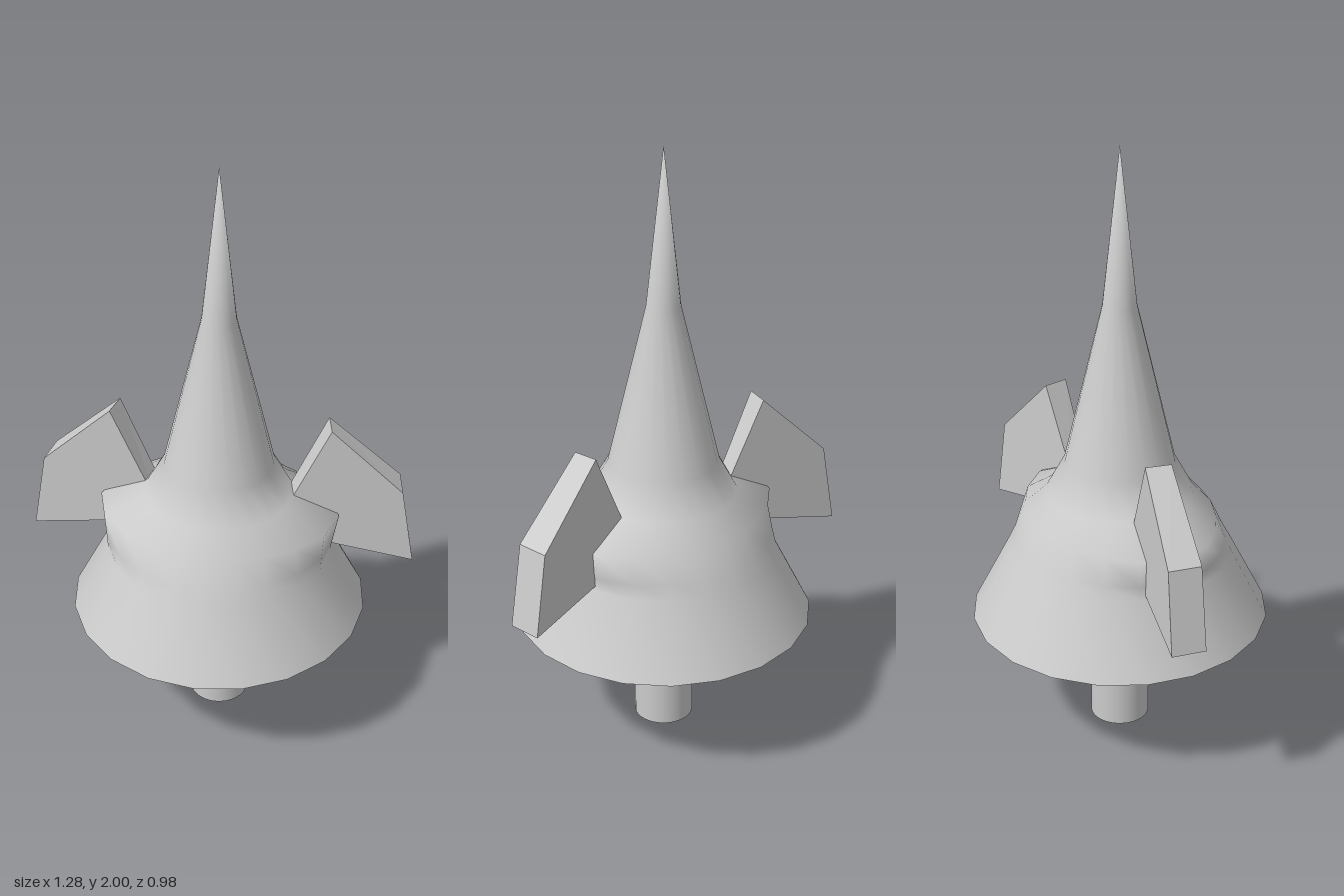
import * as THREE from 'three';
import { mergeVertices } from 'three/addons/utils/BufferGeometryUtils.js';

const material = new THREE.MeshStandardMaterial({ color: 0xcccccc });

function addMesh(group, name, geometry) {
  const mesh = new THREE.Mesh(geometry, material);
  mesh.name = name;
  group.add(mesh);
  return mesh;
}

// Turned spire whose shoulder rings swell out towards +x and -x
function bodyGeometry() {
  const profile = [[0.49, 0.41], [0.37, 0.645], [0.345, 0.69], [0.302, 0.78], [0.24, 0.85],
    [0.18, 0.96], [0.055, 1.49], [0, 2]].map(([r, y]) => new THREE.Vector2(r, y));
  let geo = new THREE.LatheGeometry(profile, 20);
  const pos = geo.attributes.position;
  for (let i = 0; i < pos.count; i++) {
    const x = pos.getX(i), y = pos.getY(i), z = pos.getZ(i);
    const swell = Math.abs(y - 0.78) < 0.01 ? 0.093 : Math.abs(y - 0.69) < 0.01 ? 0.033 : 0;
    if (swell === 0) continue;
    const r = Math.hypot(x, z);
    const k = (r + swell * Math.pow(x / r, 4)) / r;
    pos.setXYZ(i, x * k, y, z * k);
  }
  geo.deleteAttribute('uv');
  geo.deleteAttribute('normal');
  geo = mergeVertices(geo, 1e-4);
  geo.computeVertexNormals();
  return geo;
}

// Five-cornered fin, swept backwards and thicker at its outer edge
function finGeometry(side) {
  const corners = [[0.2, 0.75], [0.22, 0.693], [0.64, 0.6], [0.595, 0.87], [0.36, 1.1]];
  if (side < 0) corners.reverse();
  const shape = new THREE.Shape(corners.map(([x, y]) => new THREE.Vector2(side * x, y)));
  const geo = new THREE.ExtrudeGeometry(shape, { depth: 1, bevelEnabled: false });
  const pos = geo.attributes.position;
  for (let i = 0; i < pos.count; i++) {
    const x = Math.abs(pos.getX(i)), front = pos.getZ(i) > 0.5;
    const out = x - 0.24;
    pos.setX(i, side * (front ? x : x - 0.018));
    pos.setZ(i, front ? -0.11 * out : -0.07 - 0.21 * out);
  }
  geo.computeVertexNormals();
  return geo;
}

export function createModel() {
  const model = new THREE.Group();
  model.name = 'wingedSpire';

  addMesh(model, 'body', bodyGeometry());

  // Flat underside of the skirt
  const underside = addMesh(model, 'underside', new THREE.CircleGeometry(0.49, 20));
  underside.rotation.x = Math.PI / 2;
  underside.position.y = 0.41;

  // Stem
  const stem = addMesh(model, 'stem', new THREE.CylinderGeometry(0.098, 0.098, 0.42, 32));
  stem.position.y = 0.21;

  // Pair of side fins
  addMesh(model, 'leftFin', finGeometry(1));
  addMesh(model, 'rightFin', finGeometry(-1));

  return model;
}
